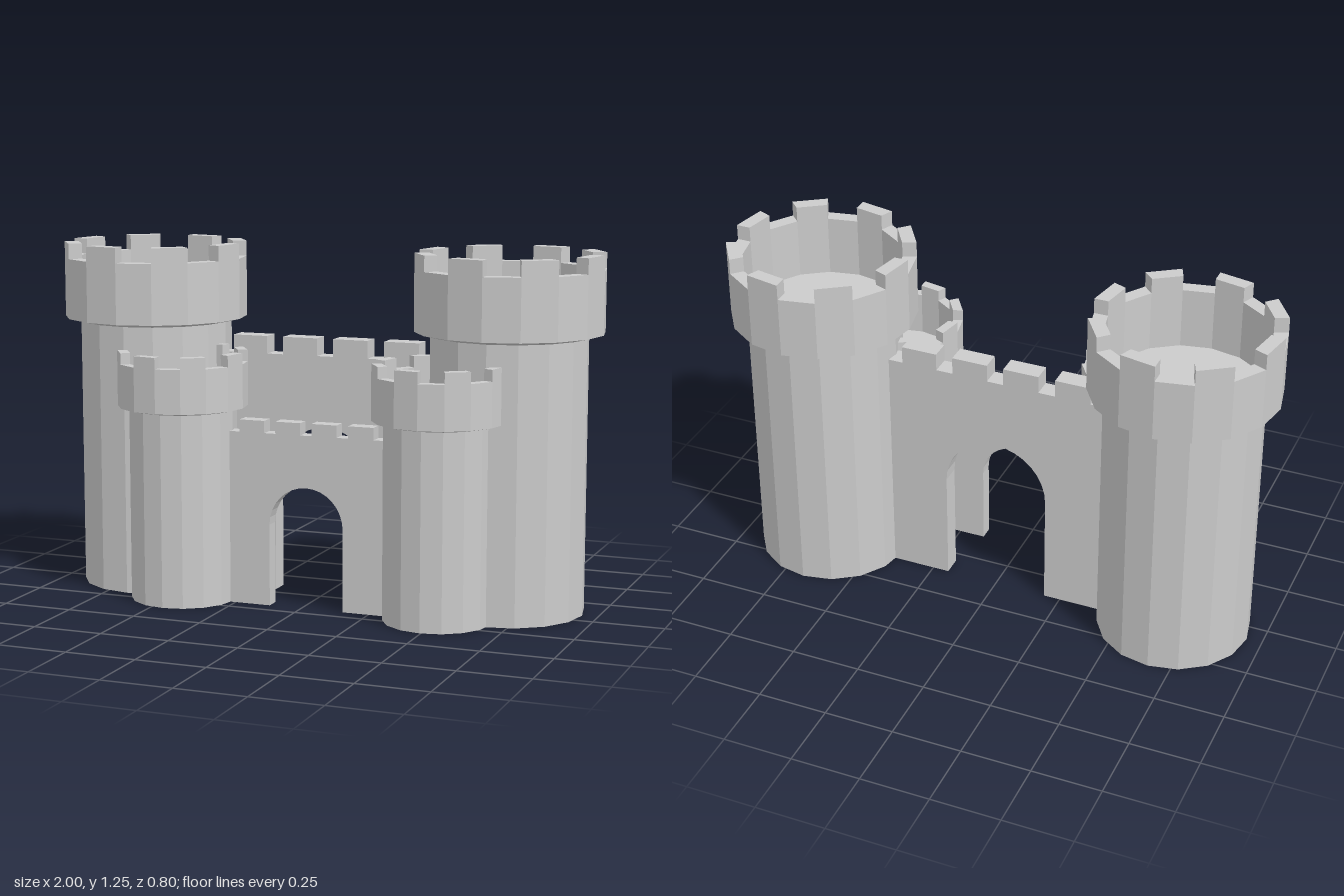
import * as THREE from 'three';

const SIDES = 16;
const stone = new THREE.MeshStandardMaterial({ color: 0xcccccc, flatShading: true, side: THREE.DoubleSide });

function addMesh(parent, name, geometry) {
  const mesh = new THREE.Mesh(geometry, stone);
  mesh.name = name;
  parent.add(mesh);
  return mesh;
}

// Round tower, open underneath, with a wider hollow crown and merlons on every second side
function makeTower(name, { shaft, outer, inner, collar, lip, notch, top }) {
  const tower = new THREE.Group();
  tower.name = name;

  const profile = [
    [shaft, 0], [shaft, collar], [outer, lip], [outer, notch],
    [inner, notch], [inner, lip], [0, lip],
  ].map(([r, y]) => new THREE.Vector2(r, y));
  addMesh(tower, 'towerBody', new THREE.LatheGeometry(profile, SIDES));

  const step = (Math.PI * 2) / SIDES;
  for (let i = 1; i < SIDES; i += 2) {
    const corner = (r, k) => new THREE.Vector2(r * Math.sin(k * step), -r * Math.cos(k * step));
    const shape = new THREE.Shape([corner(inner, i), corner(outer, i), corner(outer, i + 1), corner(inner, i + 1)]);
    const geometry = new THREE.ExtrudeGeometry(shape, { depth: top - notch, bevelEnabled: false });
    geometry.rotateX(-Math.PI / 2);
    addMesh(tower, 'towerMerlon', geometry).position.y = notch;
  }
  return tower;
}

// Wall with an arched gateway and four merlons
function makeWall(name, { half, notch, top, merlon, gap, archR, spring, archTop, thick }) {
  const shape = new THREE.Shape();
  shape.moveTo(-half, 0);
  shape.lineTo(-archR, 0);
  for (let i = 0; i <= 16; i++) {
    const a = Math.PI * (1 - i / 16);
    shape.lineTo(archR * Math.cos(a), spring + (archTop - spring) * Math.sin(a));
  }
  shape.lineTo(archR, 0);
  shape.lineTo(half, 0);
  shape.lineTo(half, notch);
  for (let i = 3; i >= 0; i--) {
    const mid = (i - 1.5) * (merlon + gap);
    shape.lineTo(mid + merlon / 2, notch);
    shape.lineTo(mid + merlon / 2, top);
    shape.lineTo(mid - merlon / 2, top);
    shape.lineTo(mid - merlon / 2, notch);
  }
  shape.lineTo(-half, notch);
  const geometry = new THREE.ExtrudeGeometry(shape, { depth: thick, bevelEnabled: false });
  geometry.translate(0, 0, -thick / 2);
  const mesh = new THREE.Mesh(geometry, stone);
  mesh.name = name;
  return mesh;
}

export function createModel() {
  const castle = new THREE.Group();
  castle.name = 'castleGate';

  const bigTower = { shaft: 0.274, outer: 0.33, inner: 0.28, collar: 0.965, lip: 0.978, notch: 1.195, top: 1.25 };
  const smallTower = { shaft: 0.19, outer: 0.23, inner: 0.195, collar: 0.685, lip: 0.694, notch: 0.85, top: 0.89 };

  // Tall towers at the back, short ones in front
  for (const [side, s] of [['left', 1], ['right', -1]]) {
    const back = makeTower(side + 'BackTower', bigTower);
    back.position.set(s * 0.67, 0, -0.07);
    const front = makeTower(side + 'FrontTower', smallTower);
    front.position.set(0.02 + s * 0.476, 0, 0.17);
    castle.add(back, front);
  }

  // Gate walls between each pair of towers
  const backWall = makeWall('backWall', {
    half: 0.47, notch: 0.862, top: 0.925, merlon: 0.13, gap: 0.061,
    archR: 0.19, spring: 0.41, archTop: 0.605, thick: 0.07,
  });
  backWall.position.z = -0.078;
  const frontWall = makeWall('frontWall', {
    half: 0.33, notch: 0.615, top: 0.658, merlon: 0.093, gap: 0.042,
    archR: 0.137, spring: 0.29, archTop: 0.43, thick: 0.052,
  });
  frontWall.position.set(0.018, 0, 0.162);
  castle.add(backWall, frontWall);

  return castle;
}
